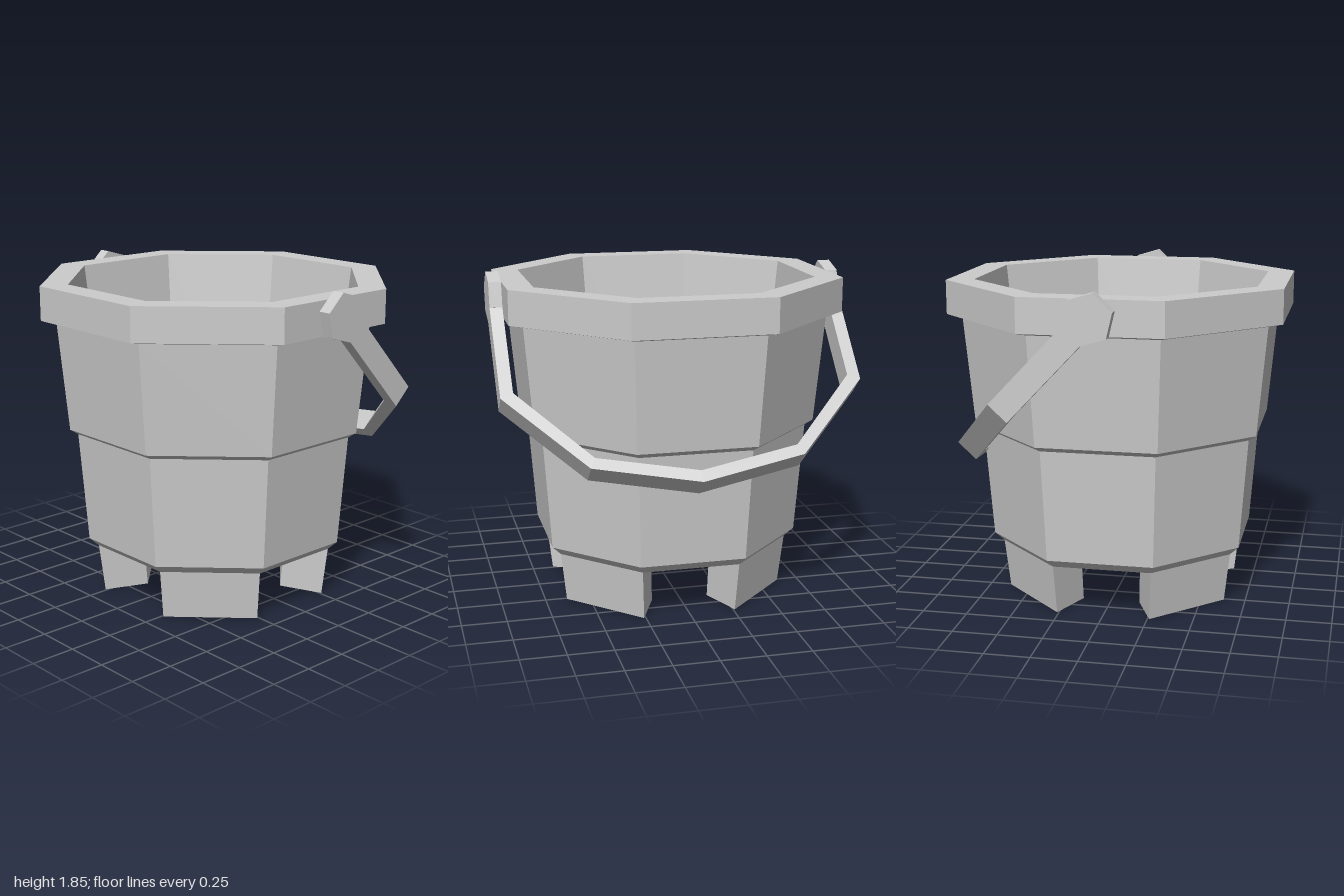
import * as THREE from 'three';

const grey = new THREE.MeshStandardMaterial({ color: 0xcccccc, flatShading: true });
grey.name = 'pale grey';

const APOTHEM = Math.cos(Math.PI / 8);

function part(name, geometry, parent) {
  const mesh = new THREE.Mesh(geometry, grey);
  mesh.name = name;
  parent.add(mesh);
  return mesh;
}

function polygon(points) {
  return new THREE.Shape(points.map(([x, y]) => new THREE.Vector2(x, y)));
}

export function createModel() {
  const model = new THREE.Group();
  model.name = 'bucket';

  // Eight-sided stepped shell; profile is [distance to flat side, height]
  const profile = [
    [0, 0.28], [0.66, 0.28], [0.71, 0.33], [0.755, 0.96], [0.797, 0.99],
    [0.85, 1.6], [0.93, 1.62], [0.93, 1.81], [0.785, 1.81], [0.635, 0.42], [0, 0.42],
  ].map(([d, y]) => new THREE.Vector2(d / APOTHEM, y));
  part('shell', new THREE.LatheGeometry(profile, 8, Math.PI / 8), model);

  // Four wedge feet under the diagonal sides, narrowing slightly downwards
  const footHeight = 0.28;
  const footGeometry = new THREE.ExtrudeGeometry(
    polygon([[-0.17, 0.41], [0.17, 0.41], [0.274, 0.66], [-0.274, 0.66]]),
    { depth: footHeight, bevelEnabled: false });
  footGeometry.rotateX(-Math.PI / 2);
  const pos = footGeometry.attributes.position;
  for (let i = 0; i < pos.count; i++) {
    const s = 0.953 + 0.047 * pos.getY(i) / footHeight;
    pos.setX(i, pos.getX(i) * s);
    pos.setZ(i, pos.getZ(i) * s);
  }
  for (let i = 0; i < 4; i++) {
    part('foot', footGeometry, model).rotation.y = Math.PI / 4 + i * Math.PI / 2;
  }

  // Handle hanging to the side: local x runs along the arms from the pivot
  const handle = new THREE.Group();
  handle.name = 'handle';
  handle.position.y = 1.715;
  handle.rotation.z = -0.816;
  model.add(handle);

  // Bent band as an outline of [along arm, depth], extruded across its width
  const outer = [[0.115, 1], [0.686, 1], [1.127, 0.58], [1.249, 0]];
  const inner = [[0.115, 0.93], [0.656, 0.93], [1.067, 0.55], [1.18, 0]];
  const mirrored = (pts) => pts.slice(0, -1).reverse().map(([x, z]) => [x, -z]);
  const outline = [
    ...outer, ...mirrored(outer),
    ...[...inner, ...mirrored(inner)].reverse(),
  ];
  const width = 0.136;
  const bandGeometry = new THREE.ExtrudeGeometry(polygon(outline), { depth: width, bevelEnabled: false });
  bandGeometry.translate(0, 0, -width / 2);
  bandGeometry.rotateX(Math.PI / 2);
  part('handleBand', bandGeometry, handle);

  // Six-sided pivot plates on both sides of the rim
  const pivotGeometry = new THREE.CylinderGeometry(0.138, 0.138, 0.07, 6);
  pivotGeometry.rotateX(Math.PI / 2);
  for (const side of [1, -1]) {
    part('handlePivot', pivotGeometry, handle).position.z = side * 0.965;
  }

  return model;
}
